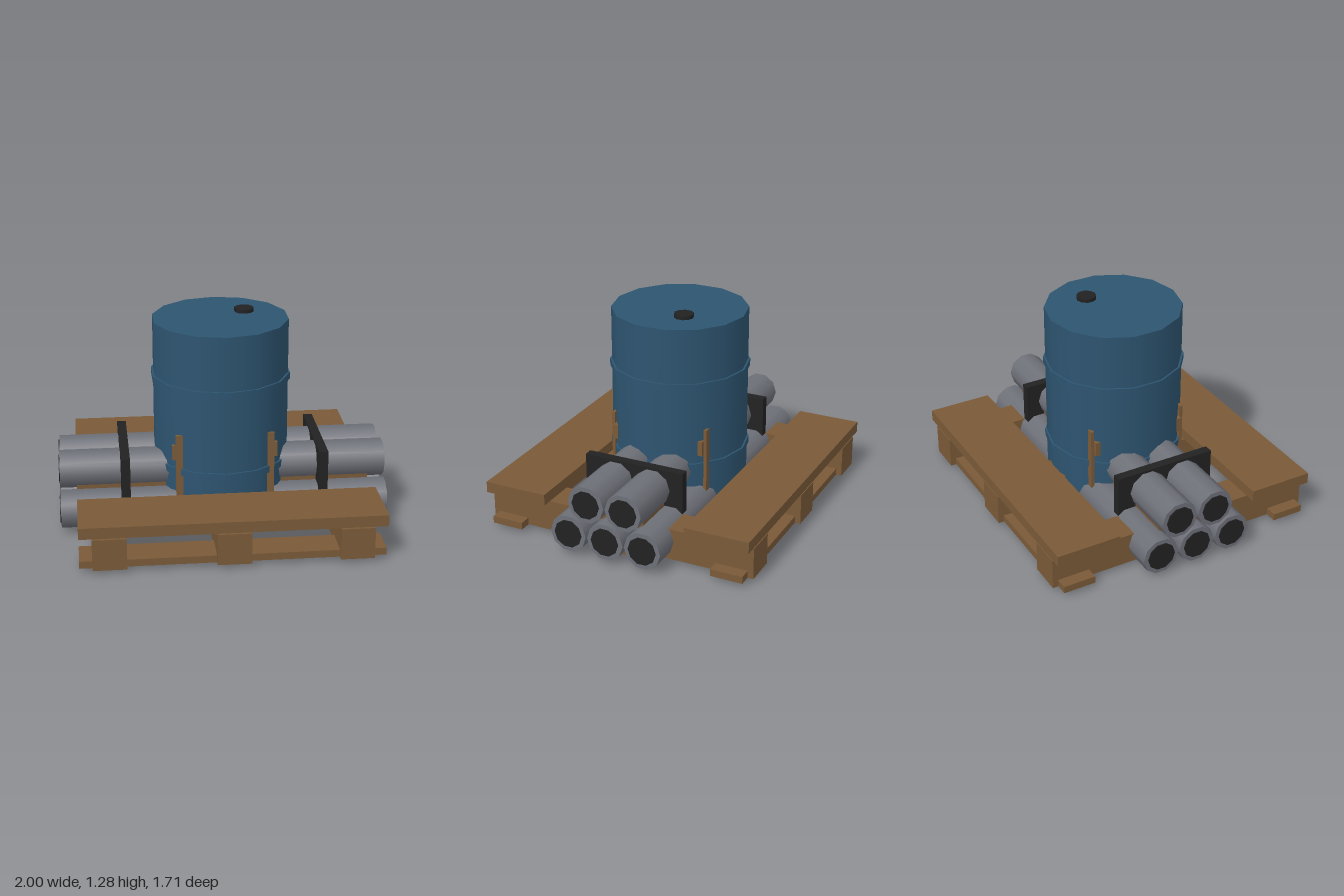
import * as THREE from 'three';

export function createModel() {
  const model = new THREE.Group();
  model.name = 'loadedPallet';

  const material = (name, color) => {
    const m = new THREE.MeshStandardMaterial({ color });
    m.name = name;
    return m;
  };
  const wood = material('wood brown', 0x7a5a38);
  const blue = material('drum blue', 0x2d5470);
  const grey = material('pipe grey', 0x6e7078);
  const black = material('rubber black', 0x222222);

  const add = (name, geometry, mat, x, y, z) => {
    const mesh = new THREE.Mesh(geometry, mat);
    mesh.name = name;
    mesh.position.set(x, y, z);
    model.add(mesh);
    return mesh;
  };
  // Box given by its centre in plan and its bottom and top heights
  const box = (name, mat, x, z, w, d, y0, y1) =>
    add(name, new THREE.BoxGeometry(w, y1 - y0, d), mat, x, (y0 + y1) / 2, z);
  // Upright cylinder given by its bottom and top heights
  const disc = (name, mat, r, sides, y0, y1, x = 0, z = 0) =>
    add(name, new THREE.CylinderGeometry(r, r, y1 - y0, sides), mat, x, (y0 + y1) / 2, z);

  // Pallet: deck boards, stringers and bottom runners
  for (const i of [-1, 0, 1]) {
    box('deckBoard', wood, 0, i * 0.655, 1.79, 0.4, 0.226, 0.295);
    box('stringer', wood, i * 0.72, 0, 0.2, 1.71, 0.025, 0.218);
    box('bottomRunner', wood, 0, i * 0.72, 1.79, 0.2, 0.026, 0.07);
  }

  // Drum with two hoops and a filler cap
  disc('drum', blue, 0.415, 14, 0.02, 1.255);
  disc('lowerHoop', blue, 0.427, 14, 0.36, 0.403);
  disc('upperHoop', blue, 0.427, 14, 0.877, 0.92);
  disc('fillerCap', black, 0.06, 10, 1.255, 1.278, 0.156, -0.1);

  // Stack of pipes, three below and two above, with dark bores
  const pipeGeometry = new THREE.CylinderGeometry(0.116, 0.116, 1.988, 10).rotateZ(Math.PI / 2);
  const boreGeometry = new THREE.CylinderGeometry(0.088, 0.088, 2, 10).rotateZ(Math.PI / 2);
  for (const [y, z] of [[0.14, -0.24], [0.14, 0], [0.14, 0.24], [0.352, -0.12], [0.352, 0.12]]) {
    add('pipe', pipeGeometry, grey, 0, y, z);
    add('pipeBore', boreGeometry, black, 0, y, z);
  }

  // Straps around the pipes, and wooden braces around the drum
  for (const sx of [-1, 1]) {
    box('strap', black, sx * 0.6, 0, 0.055, 0.636, 0, 0.478);
    for (const sz of [-1, 1]) {
      box('bracePost', wood, sx * 0.276, sz * 0.308, 0.042, 0.02, 0.22, 0.618);
      box('braceCrosspiece', wood, sx * 0.27, sz * 0.283, 0.096, 0.03, 0.455, 0.547);
    }
  }

  return model;
}
